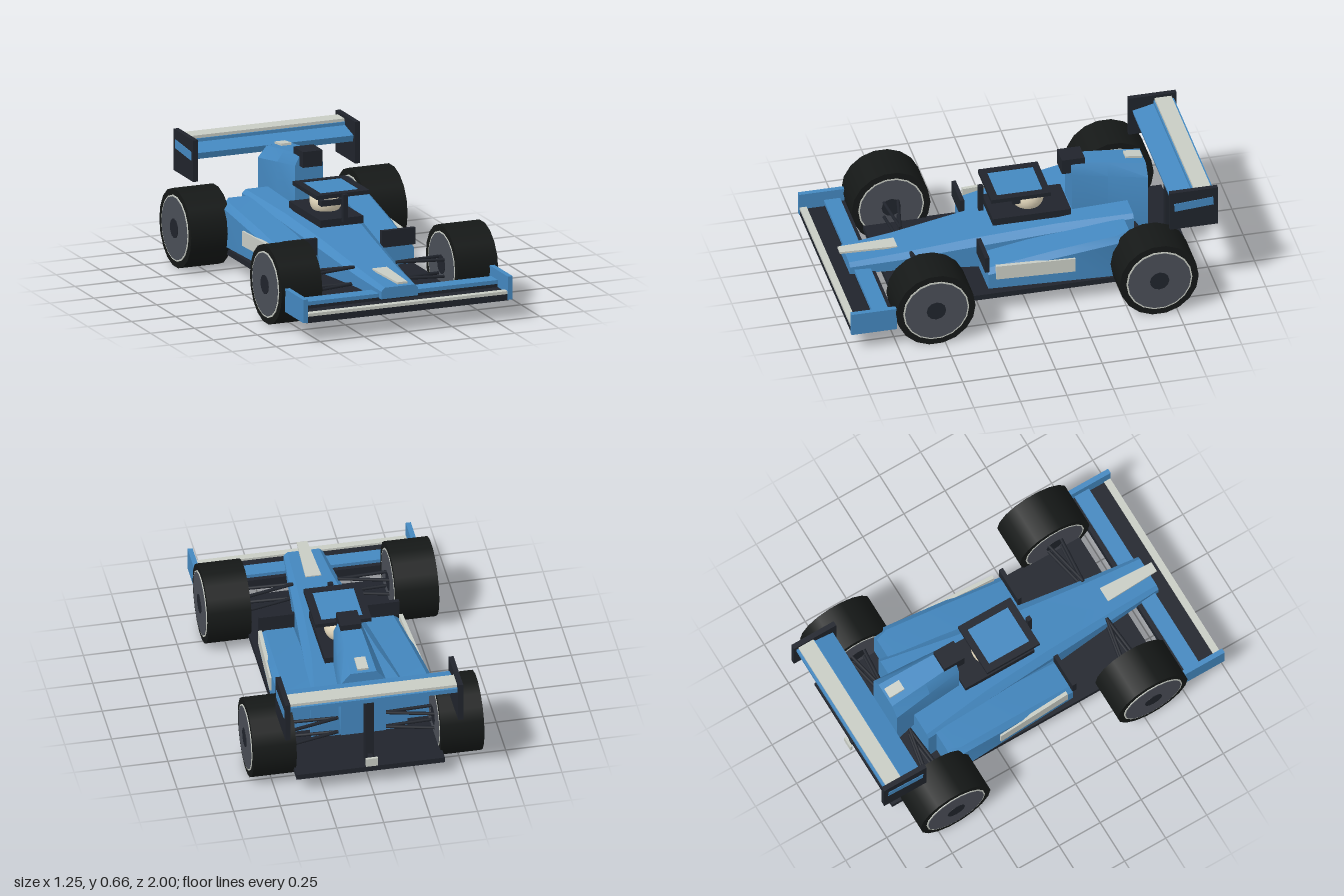
import * as THREE from 'three';
import { toCreasedNormals } from 'three/addons/utils/BufferGeometryUtils.js';

const paint = (color) => new THREE.MeshStandardMaterial({ color });
const blue = paint(0x4488c0), dark = paint(0x20242c), rubber = paint(0x151817);
const silver = paint(0xc8ccc4), rimGrey = paint(0x4a4e57), cream = paint(0xe8dcc0);

export function createModel() {
  const car = new THREE.Group();
  car.name = 'openWheelRacer';

  const add = (name, geometry, material, parent = car) => {
    const mesh = new THREE.Mesh(geometry, material);
    mesh.name = name;
    parent.add(mesh);
    return mesh;
  };

  // Box given by its min/max on each axis
  const box = (name, material, [x0, x1], [y0, y1], [z0, z1], parent) => {
    const mesh = add(name, new THREE.BoxGeometry(x1 - x0, y1 - y0, z1 - z0), material, parent);
    mesh.position.set((x0 + x1) / 2, (y0 + y1) / 2, (z0 + z1) / 2);
    return mesh;
  };

  // Round rod between two points
  const rod = (name, a, b, radius) => {
    const from = new THREE.Vector3(...a), to = new THREE.Vector3(...b);
    const dir = to.clone().sub(from);
    const mesh = add(name, new THREE.CylinderGeometry(radius, radius, dir.length(), 8), dark);
    mesh.position.copy(from).addScaledVector(dir, 0.5);
    mesh.quaternion.setFromUnitVectors(new THREE.Vector3(0, 1, 0), dir.normalize());
  };

  // Body skin through bevelled sections, front to rear: z, x range, y range, top bevel (width, height)
  const loft = (name, material, sections) => {
    const points = [], index = [], n = 6;
    for (const { z, x: [x0, x1], y: [y0, y1], bevel: [bx, by] } of sections) {
      points.push(x0, y0, z, x1, y0, z, x1, y1 - by, z, x1 - bx, y1, z, x0 + bx, y1, z, x0, y1 - by, z);
    }
    for (let s = 0; s < sections.length - 1; s++) {
      for (let i = 0; i < n; i++) {
        const a = s * n + i, b = s * n + (i + 1) % n;
        index.push(a, a + n, b, b, a + n, b + n);
      }
    }
    const last = (sections.length - 1) * n;
    for (let i = 1; i < n - 1; i++) {
      index.push(0, i, i + 1, last, last + i + 1, last + i);
    }
    const geometry = new THREE.BufferGeometry();
    geometry.setAttribute('position', new THREE.Float32BufferAttribute(points, 3));
    geometry.setIndex(index);
    return add(name, toCreasedNormals(geometry, 0.6), material);
  };

  // Floor
  box('floor', dark, [-0.395, 0.395], [0.092, 0.122], [-0.905, 0.7]);

  // Nose and central body
  loft('mainBody', blue, [
    { z: 0.89, x: [-0.105, 0.105], y: [0.165, 0.226], bevel: [0.02, 0.02] },
    { z: 0.62, x: [-0.13, 0.13], y: [0.165, 0.252], bevel: [0.03, 0.025] },
    { z: 0.2, x: [-0.172, 0.172], y: [0.15, 0.308], bevel: [0.04, 0.03] },
    { z: -0.2, x: [-0.214, 0.214], y: [0.12, 0.357], bevel: [0.04, 0.03] },
    { z: -0.6, x: [-0.257, 0.257], y: [0.12, 0.4], bevel: [0.02, 0.02] },
  ]);
  const noseStripe = box('noseStripe', silver, [-0.035, 0.035], [0.247, 0.258], [0.62, 0.925]);
  const stripe = noseStripe.geometry.attributes.position;
  for (let i = 0; i < stripe.count; i++) {
    stripe.setX(i, stripe.getX(i) * (stripe.getZ(i) > 0 ? 0.8 : 1.2));
  }

  // Engine cover with roll hoop intake
  loft('engineCover', blue, [
    { z: -0.31, x: [-0.08, 0.08], y: [0.34, 0.642], bevel: [0.03, 0.06] },
    { z: -0.5, x: [-0.1, 0.1], y: [0.3, 0.618], bevel: [0.04, 0.06] },
    { z: -0.71, x: [-0.12, 0.12], y: [0.2, 0.59], bevel: [0.05, 0.06] },
  ]);
  box('airIntake', dark, [-0.056, 0.056], [0.58, 0.665], [-0.385, -0.262]);
  const coverTab = box('coverTab', silver, [-0.029, 0.029], [0.603, 0.615], [-0.7, -0.61]);
  coverTab.rotation.x = -0.12;

  // Cockpit, driver and roof frame
  box('cockpitRim', dark, [-0.122, 0.122], [0.36, 0.4], [-0.295, 0.125]);
  const helmet = add('helmet', new THREE.SphereGeometry(0.086, 24, 16), cream);
  helmet.position.set(0, 0.448, -0.09);
  box('visor', dark, [-0.066, 0.066], [0.438, 0.468], [-0.045, 0.006]);
  box('roofPillar', dark, [-0.013, 0.013], [0.39, 0.54], [0.15, 0.175]);
  for (const s of [-1, 1]) {
    box('roofSideRail', dark, [s * 0.13 - 0.02, s * 0.13 + 0.02], [0.518, 0.54], [-0.18, 0.14]);
  }
  box('roofFrontRail', dark, [-0.15, 0.15], [0.518, 0.54], [0.1, 0.14]);
  box('roofRearRail', dark, [-0.15, 0.15], [0.518, 0.54], [-0.18, -0.145]);
  box('roofPanel', blue, [-0.112, 0.112], [0.522, 0.536], [-0.148, 0.103]);

  for (const s of [-1, 1]) {
    const span = (a, b) => (s > 0 ? [a, b] : [-b, -a]);

    // Sidepod with its intake and side panel
    loft('sidepod', blue, [
      { z: 0.21, x: span(0.16, 0.372), y: [0.14, 0.25], bevel: [0.03, 0.025] },
      { z: -0.15, x: span(0.17, 0.392), y: [0.14, 0.318], bevel: [0.03, 0.03] },
      { z: -0.48, x: span(0.2, 0.41), y: [0.14, 0.37], bevel: [0.03, 0.03] },
      { z: -0.55, x: span(0.2, 0.385), y: [0.14, 0.378], bevel: [0.03, 0.03] },
    ]);
    box('sidepodIntake', dark, span(0.183, 0.375), [0.245, 0.335], [0.205, 0.228]);
    const panel = box('sidePanel', silver, span(0.377, 0.397), [0.2, 0.28], [-0.25, 0.17]);
    panel.rotation.y = -s * 0.055;

    // Wheels and wishbones
    for (const [axle, z] of [['front', 0.55], ['rear', -0.65]]) {
      const wheel = new THREE.Group();
      wheel.name = axle + 'Wheel';
      wheel.position.set(s * 0.5, 0.216, z);
      wheel.rotation.z = -s * Math.PI / 2;
      car.add(wheel);
      const disc = (name, r, y0, y1, material, sides = 18) => {
        const mesh = add(name, new THREE.CylinderGeometry(r, r, y1 - y0, sides), material, wheel);
        mesh.position.y = (y0 + y1) / 2;
      };
      disc('tyre', 0.212, -0.115, 0.115, rubber);
      disc('rimRing', 0.177, -0.117, 0.119, silver);
      disc('rim', 0.169, -0.118, 0.121, rimGrey);
      disc('hub', 0.052, -0.119, 0.124, dark, 12);
      for (const y of [0.17, 0.26]) {
        for (const dz of [-0.04, 0.04]) {
          rod(axle + 'Wishbone', [s * 0.12, y, z + 0.015], [s * 0.4, y - 0.01, z + dz], 0.009);
        }
      }
    }

    // Wing endplates
    box('frontEndplate', blue, span(0.568, 0.595), [0.117, 0.243], [0.755, 1]);
    box('rearEndplate', dark, span(0.447, 0.474), [0.427, 0.652], [-1, -0.742]);
    const flash = box('endplateFlash', blue, span(0.47, 0.477), [0.545, 0.592], [-0.975, -0.765]);
    flash.rotation.x = 0.07;
  }

  // Front wing
  box('frontWingPlane', dark, [-0.575, 0.575], [0.113, 0.152], [0.755, 0.995]);
  box('frontWingEdge', silver, [-0.572, 0.572], [0.148, 0.164], [0.96, 0.997]);
  box('frontFlapMount', dark, [-0.572, 0.572], [0.15, 0.172], [0.755, 0.865]);
  box('frontFlap', blue, [-0.572, 0.572], [0.17, 0.191], [0.78, 0.867]);

  // Rear wing, pillar and tail light
  const rearWing = box('rearWingPlane', blue, [-0.452, 0.452], [0.555, 0.59], [-0.89, -0.765]);
  rearWing.rotation.x = 0.24;
  box('rearFlap', blue, [-0.452, 0.452], [0.595, 0.62], [-0.985, -0.875]);
  box('rearFlapTop', silver, [-0.452, 0.452], [0.618, 0.636], [-0.972, -0.882]);
  box('rearWingPillar', dark, [-0.022, 0.022], [0.11, 0.57], [-0.878, -0.828]);
  box('tailLight', silver, [-0.032, 0.032], [0.15, 0.198], [-0.942, -0.928]);
  box('tailLightArm', dark, [-0.012, 0.012], [0.162, 0.186], [-0.93, -0.87]);

  return car;
}
